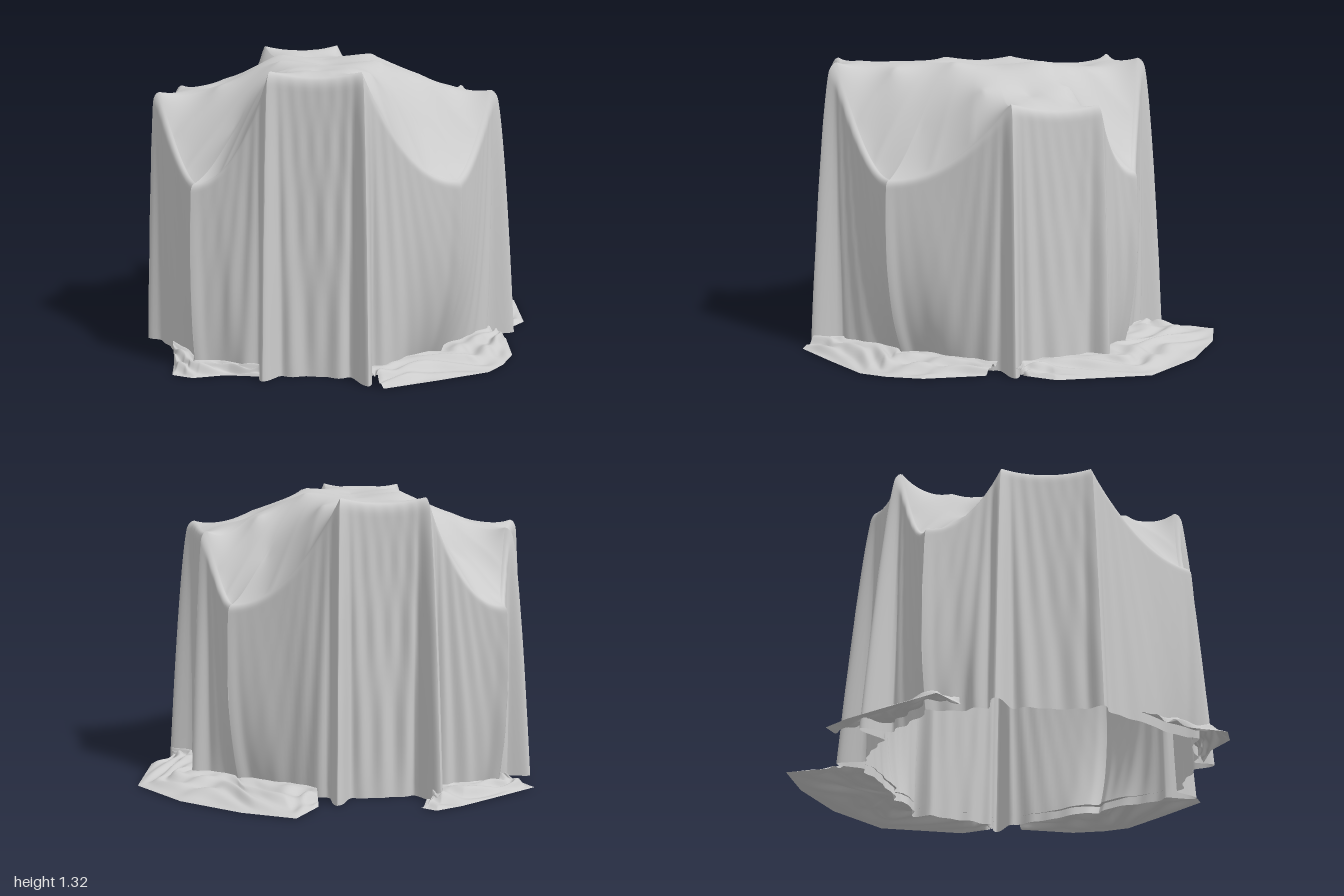
import * as THREE from 'three';

// Points that hold the cloth up, in order round the rim: x, y, z, size of hanging fold, inward tuck at the floor
const corners = [
  [0.70, 1.18, 0.15, 0.075, 0], [0.47, 0.84, 0.65, 0.012, 0.15], [0.03, 1.33, 0.82, 0.085, 0], [-0.36, 1.33, 0.76, 0.06, 0],
  [-0.69, 0.84, 0.66, 0.012, 0.04], [-0.87, 1.18, 0.14, 0.03, 0], [-0.78, 1.17, -0.25, 0.08, 0], [-0.72, 0.85, -0.57, 0.012, 0.07],
  [-0.36, 1.33, -0.63, 0.10, 0], [0.02, 1.33, -0.67, 0.08, 0], [0.50, 0.85, -0.48, 0.012, 0.09], [0.62, 1.16, -0.27, 0.04, 0],
];
// Raised points under the middle of the cloth, then the sagging places between them
const inner = [
  [-0.3, 1.33, 0.23], [-0.3, 1.33, -0.1], [0.15, 1.33, 0.28], [0.15, 1.33, -0.15],
  [-0.08, 1.29, 0.07], [-0.08, 1.3, 0.26], [-0.08, 1.3, -0.13], [0.15, 1.3, 0.07], [-0.3, 1.31, 0.07],
  [0.09, 1.3, 0.55], [-0.33, 1.3, 0.5], [-0.14, 1.3, 0.53], [0.09, 1.28, -0.4], [-0.33, 1.28, -0.37], [-0.12, 1.27, -0.4],
  [0.42, 1.22, 0.21], [0.42, 1.19, 0.0], [0.38, 1.22, -0.21], [-0.58, 1.21, 0.18], [-0.55, 1.21, -0.18], [-0.57, 1.18, 0.0],
  [0.32, 1.05, 0.47], [-0.5, 1.06, 0.45], [-0.51, 1.06, -0.34], [0.33, 1.06, -0.32],
];
const centre = [-0.08, 0.08];
const N = corners.length, STEPS = 44;
const lerp = THREE.MathUtils.lerp;

// Point on the rim; u counts corners
function rim(u) {
  const i = Math.floor(u), t = u - i;
  const a = corners[i % N], b = corners[(i + 1) % N];
  const drop = Math.abs(a[1] - b[1]);
  let y;
  if (drop < 0.1) y = lerp(a[1], b[1], t) - 0.1 * t * (1 - t);
  else y = Math.min(a[1], b[1]) + drop * (a[1] > b[1] ? (1 - t) ** 2 : t ** 2);
  const bow = 0.98 - 0.06 * t * (1 - t);
  return {
    x: centre[0] + (lerp(a[0], b[0], t) - centre[0]) * bow, y,
    z: centre[1] + (lerp(a[2], b[2], t) - centre[1]) * bow,
    t, a, b, length: Math.hypot(a[0] - b[0], a[2] - b[2]),
  };
}

// Tent-like surface through the holding points: sum of cones, solved by elimination
function tentHeights() {
  const pins = [...inner];
  for (let k = 0; k < N * 3; k++) {
    const p = rim(k / 3);
    pins.push([p.x, p.y, p.z]);
  }
  const n = pins.length, mean = 1.2;
  const m = pins.map((p) => [...pins.map((q) => Math.hypot(p[0] - q[0], p[2] - q[2])), p[1] - mean]);
  for (let c = 0; c < n; c++) {
    let best = c;
    for (let r = c; r < n; r++) if (Math.abs(m[r][c]) > Math.abs(m[best][c])) best = r;
    [m[c], m[best]] = [m[best], m[c]];
    for (let r = 0; r < n; r++) {
      if (r === c) continue;
      const f = m[r][c] / m[c][c];
      for (let k = c; k <= n; k++) m[r][k] -= f * m[c][k];
    }
  }
  const w = m.map((row, i) => row[n] / row[i]);
  return (x, z) => pins.reduce((sum, p, i) => sum + w[i] * Math.hypot(x - p[0], z - p[2]), mean);
}

// Point on the hanging cloth; s runs from rim (0) to floor (1)
function skirt(u, s) {
  const p = rim(u);
  const dx = p.x - centre[0], dz = p.z - centre[1], d = Math.hypot(dx, dz);
  // One rounded fold at the corner, with softer ones fanning out beside it
  const fold = (size, dist) => {
    const spread = dist / (0.5 + 0.5 * s);
    return size * (Math.exp(-((dist / 0.034) ** 4)) + 0.25 * Math.cos(spread * 58) * Math.exp(-dist / 0.13));
  };
  const folds = fold(p.a[3], p.t * p.length) + fold(p.b[3], (1 - p.t) * p.length);
  const wave = 0.008 * Math.sin(u * 11 + s * 2) * Math.sin(Math.PI * p.t);
  const tuck = lerp(p.a[4], p.b[4], THREE.MathUtils.smoothstep(p.t, 0, 1)) * s ** 3;
  const edge = 0.025 * Math.sqrt(1 - (1 - Math.min(s / 0.04, 1)) ** 2);
  const out = edge + 0.018 * s + folds * s ** 0.6 + wave * s - tuck;
  return [p.x + (dx / d) * out, lerp(p.y, 0.008, s), p.z + (dz / d) * out];
}

// Surface from rows of points; rows run round, outward and down
function sheet(rows, closed, material, name) {
  const cols = rows[0].length, index = [];
  for (let j = 0; j < rows.length - 1; j++) {
    for (let i = 0; i < (closed ? cols : cols - 1); i++) {
      const k = (i + 1) % cols;
      const a = j * cols + i, b = j * cols + k, c = a + cols, d = b + cols;
      index.push(a, b, c, b, d, c);
    }
  }
  const g = new THREE.BufferGeometry();
  g.setAttribute('position', new THREE.Float32BufferAttribute(rows.flat(2), 3));
  g.setIndex(index);
  g.computeVertexNormals();
  const mesh = new THREE.Mesh(g, material);
  mesh.name = name;
  return mesh;
}

// Cloth lying on the floor between the skirt's hem and an outer edge
function pool(u0, u1, edge, material, name) {
  const rows = [], cols = 90, depth = 24;
  for (let j = 0; j <= depth; j++) {
    const v = j / depth, row = [];
    for (let i = 0; i <= cols; i++) {
      const f = i / cols, u = lerp(u0, u1, f);
      const h = skirt(u, 1);
      const e = f * (edge.length - 1), k = Math.min(Math.floor(e), edge.length - 2);
      const ox = lerp(edge[k][0], edge[k + 1][0], e - k), oz = lerp(edge[k][1], edge[k + 1][1], e - k);
      const ripple = Math.sin(13 * v + 2.5 * Math.sin(u * 5)) * Math.sin(u * 8 + v * 4);
      const y = 0.012 + 0.04 * (1 - v) ** 2 + 0.04 * Math.sin(Math.PI * v) * (0.5 + 0.5 * ripple);
      row.push([lerp(h[0], ox, v), y, lerp(h[2], oz, v)]);
    }
    rows.push(row);
  }
  return sheet(rows, false, material, name);
}

export function createModel() {
  const group = new THREE.Group();
  group.name = 'drapedCloth';
  const material = new THREE.MeshStandardMaterial({ color: 0xcccccc, side: THREE.DoubleSide });
  const height = tentHeights();

  // Samples round the rim, closer together at the corners
  const us = [];
  for (let i = 0; i < N; i++) {
    for (let k = 0; k < STEPS; k++) us.push(i + (1 - Math.cos((Math.PI * k) / STEPS)) / 2);
  }

  // Top and hanging sides as one continuous sheet
  const rows = [];
  for (let j = 0; j <= 36; j++) {
    const r = Math.max(0.001, Math.sin((j / 36) * Math.PI / 2));
    rows.push(us.map((u) => {
      const p = rim(u);
      const x = lerp(centre[0], p.x, r), z = lerp(centre[1], p.z, r);
      return [x, height(x, z) + (p.y - height(p.x, p.z)) * r ** 6, z];
    }));
  }
  for (let j = 1; j <= 36; j++) rows.push(us.map((u) => skirt(u, (j / 36) ** 1.7)));
  group.add(sheet(rows, true, material, 'clothTopAndSides'));

  // Spare cloth spread on the floor at the four corners
  group.add(pool(0.1, 1.95, [[0.76, 0.28], [0.74, 0.55], [0.67, 0.7], [0.59, 0.8], [0.36, 0.9], [0.11, 1.0]], material, 'frontLeftFloorCloth'));
  group.add(pool(9.2, 12, [[0.12, -0.82], [0.22, -1.0], [0.45, -0.9], [0.72, -0.7], [0.93, -0.42], [0.9, 0.0], [0.8, 0.12]], material, 'backLeftFloorCloth'));
  group.add(pool(6.6, 8, [[-0.78, -0.42], [-0.87, -0.54], [-0.7, -0.68], [-0.5, -0.84], [-0.38, -0.91], [-0.32, -0.86]], material, 'backRightFloorCloth'));
  group.add(pool(3.1, 4.6, [[-0.4, 0.8], [-0.56, 0.77], [-0.7, 0.8], [-0.79, 0.75], [-0.79, 0.57]], material, 'frontRightFloorCloth'));
  return group;
}
